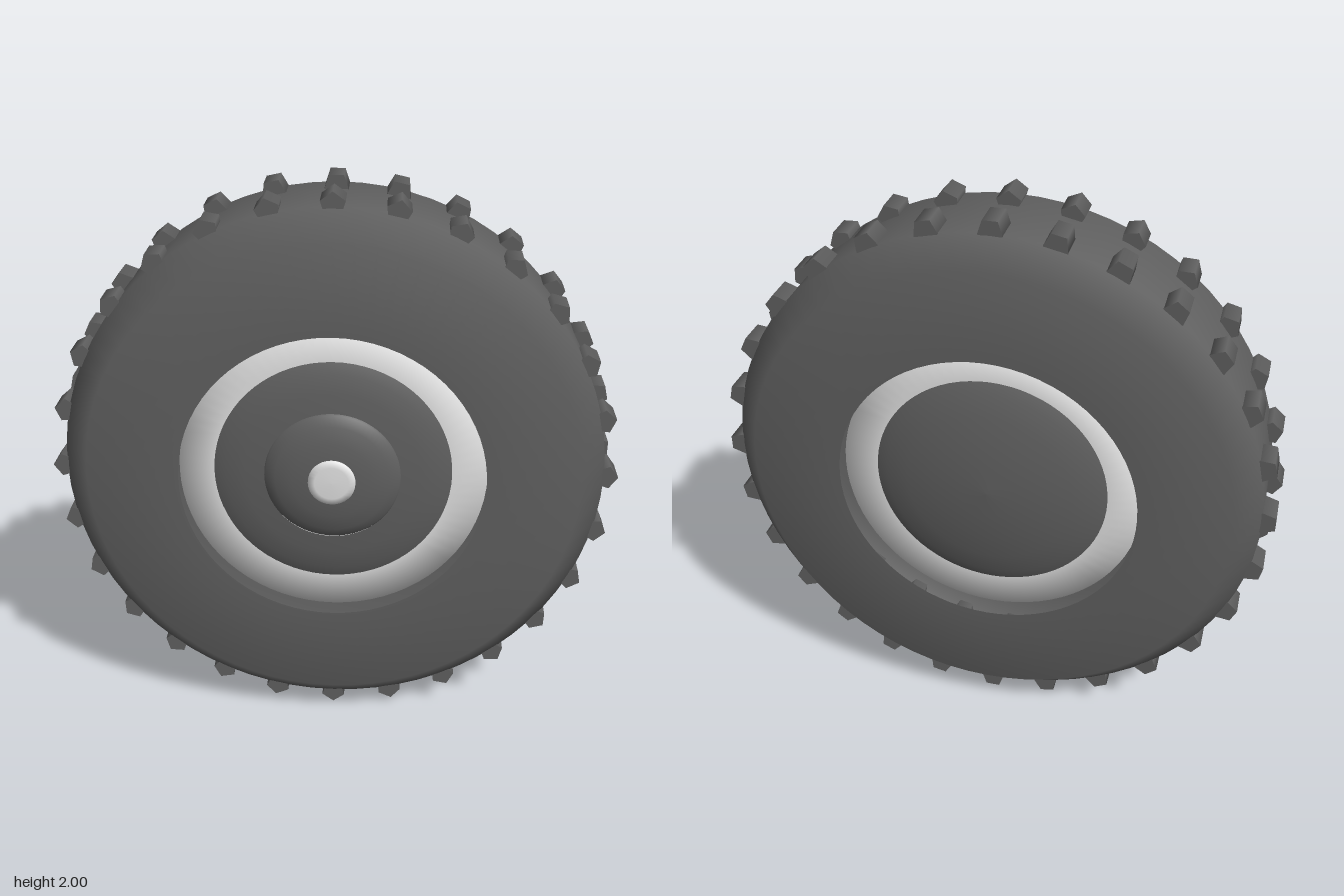
import * as THREE from 'three';

const rubber = new THREE.MeshStandardMaterial({ color: 0x606060, side: THREE.DoubleSide });
rubber.name = 'dark rubber';
const metal = new THREE.MeshStandardMaterial({ color: 0xe4e4e4, side: THREE.DoubleSide });
metal.name = 'light metal';

// Revolves [radius, z] points around the wheel axle
function revolve(name, points, material, segments = 72) {
  const geometry = new THREE.LatheGeometry(points.map(([r, z]) => new THREE.Vector2(r, z)), segments);
  geometry.rotateX(Math.PI / 2);
  const mesh = new THREE.Mesh(geometry, material);
  mesh.name = name;
  return mesh;
}

export function createModel() {
  const wheel = new THREE.Group();
  wheel.name = 'wheel';

  // Hollow tyre shell, open towards the rim
  wheel.add(revolve('tyre', [
    [0.537, -0.265], [0.86, -0.265], [0.95, -0.17],
    [0.95, 0.16], [0.86, 0.255], [0.537, 0.255],
  ], rubber));

  // Light rim drum, recessed on both sides
  wheel.add(revolve('rim', [
    [0.42, -0.188], [0.545, -0.182], [0.545, 0.172], [0.42, 0.178],
  ], metal));

  // Domed hub with a raised boss on the front
  wheel.add(revolve('hubBack', [
    [0, -0.25], [0.1, -0.246], [0.2, -0.237], [0.3, -0.221], [0.38, -0.202], [0.428, -0.18],
  ], rubber));
  wheel.add(revolve('hubFront', [
    [0.428, 0.17], [0.38, 0.19], [0.31, 0.201], [0.24, 0.207],
  ], rubber));
  wheel.add(revolve('hubBoss', [
    [0.245, 0.195], [0.235, 0.212], [0.2, 0.23], [0.14, 0.245], [0.07, 0.25], [0, 0.251],
  ], rubber));

  // Axle cap
  wheel.add(revolve('axleCap', [
    [0.083, 0.22], [0.083, 0.26], [0.06, 0.264], [0, 0.265],
  ], metal, 32));

  // Two rings of five-sided tread knobs
  const knobGeometry = new THREE.CylinderGeometry(0.044, 0.044, 0.105, 5);
  knobGeometry.rotateX(Math.PI / 2);
  const count = 28;
  for (const [name, z, turn, radius] of [
    ['frontTread', 0.113, Math.PI, 0.956],
    ['rearTread', -0.122, 0, 0.96],
  ]) {
    const ring = new THREE.Group();
    ring.name = name;
    for (let i = 0; i < count; i++) {
      const angle = (i / count) * Math.PI * 2;
      const knob = new THREE.Mesh(knobGeometry, rubber);
      knob.name = 'treadKnob';
      knob.position.set(Math.sin(angle) * radius, Math.cos(angle) * radius, z);
      knob.rotation.z = turn - angle;
      ring.add(knob);
    }
    wheel.add(ring);
  }

  wheel.position.y = 1;
  const model = new THREE.Group();
  model.name = 'knobblyWheel';
  model.add(wheel);
  return model;
}
